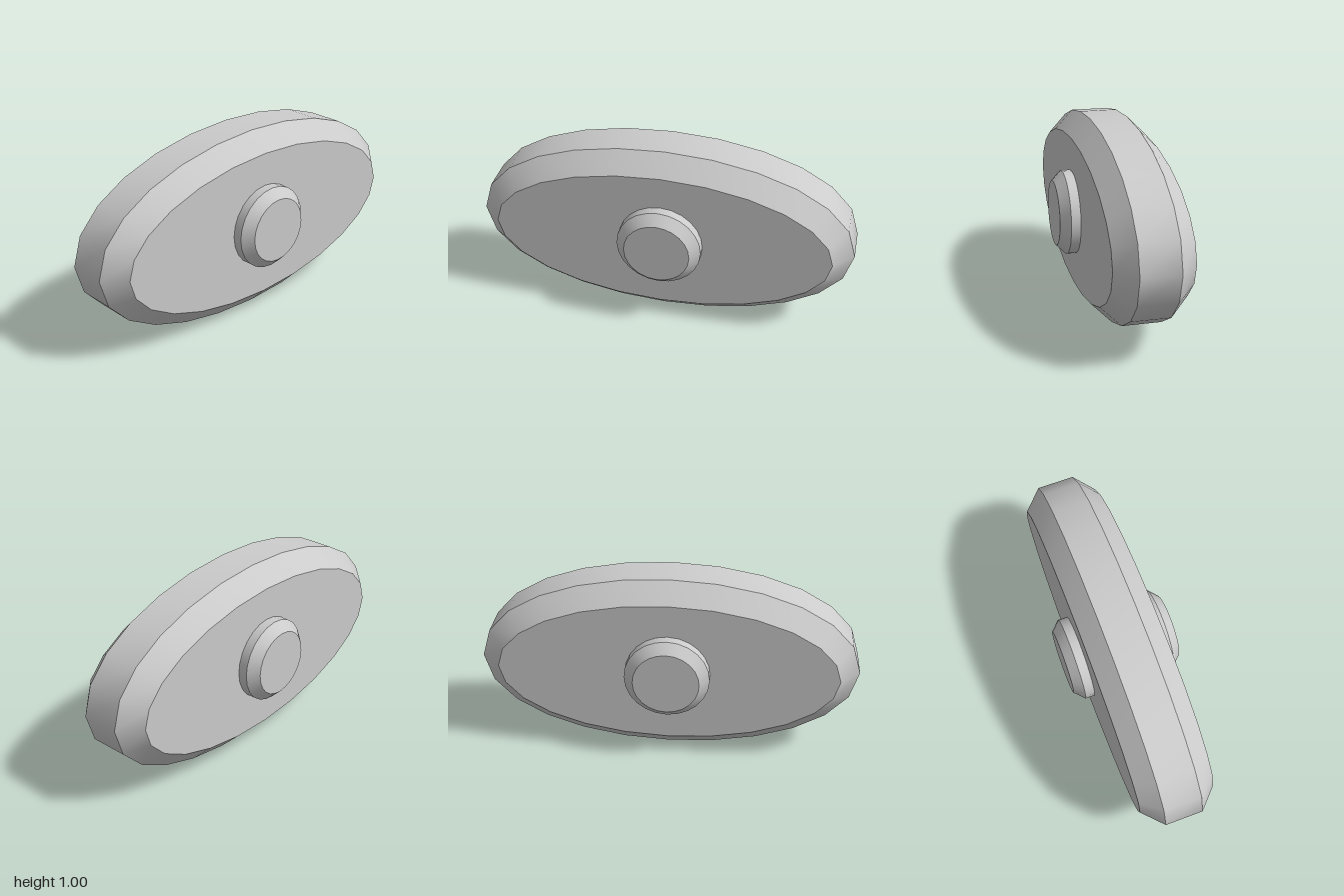
import * as THREE from 'three';
import { toCreasedNormals } from 'three/addons/utils/BufferGeometryUtils.js';

const material = new THREE.MeshStandardMaterial({ color: 0xcccccc });

// Elliptical slab, chamfered on both faces and centred on z = 0.
// rx and ry are the radii of the flat faces; the rim is wider by the chamfer.
function chamferedSlab(name, rx, ry, thickness, chamfer) {
  const outline = new THREE.Shape();
  outline.absellipse(0, 0, rx, ry, 0, Math.PI * 2, false, 0);
  const depth = thickness - 2 * chamfer;
  const geometry = new THREE.ExtrudeGeometry(outline, {
    depth,
    curveSegments: 12,
    bevelEnabled: true,
    bevelThickness: chamfer,
    bevelSize: chamfer,
    bevelSegments: 1,
  });
  geometry.translate(0, 0, -depth / 2);
  // Smooth around the rim, sharp at the chamfer edges
  const mesh = new THREE.Mesh(toCreasedNormals(geometry, 0.7), material);
  mesh.name = name;
  mesh.position.y = 0.5;
  return mesh;
}

export function createModel() {
  const model = new THREE.Group();
  model.name = 'ovalDisc';

  // Wide oval body
  model.add(chamferedSlab('body', 0.897, 0.4, 0.4, 0.1));

  // Round hub passing through the body and standing out on both faces
  model.add(chamferedSlab('hub', 0.173, 0.173, 0.6, 0.05));

  return model;
}
